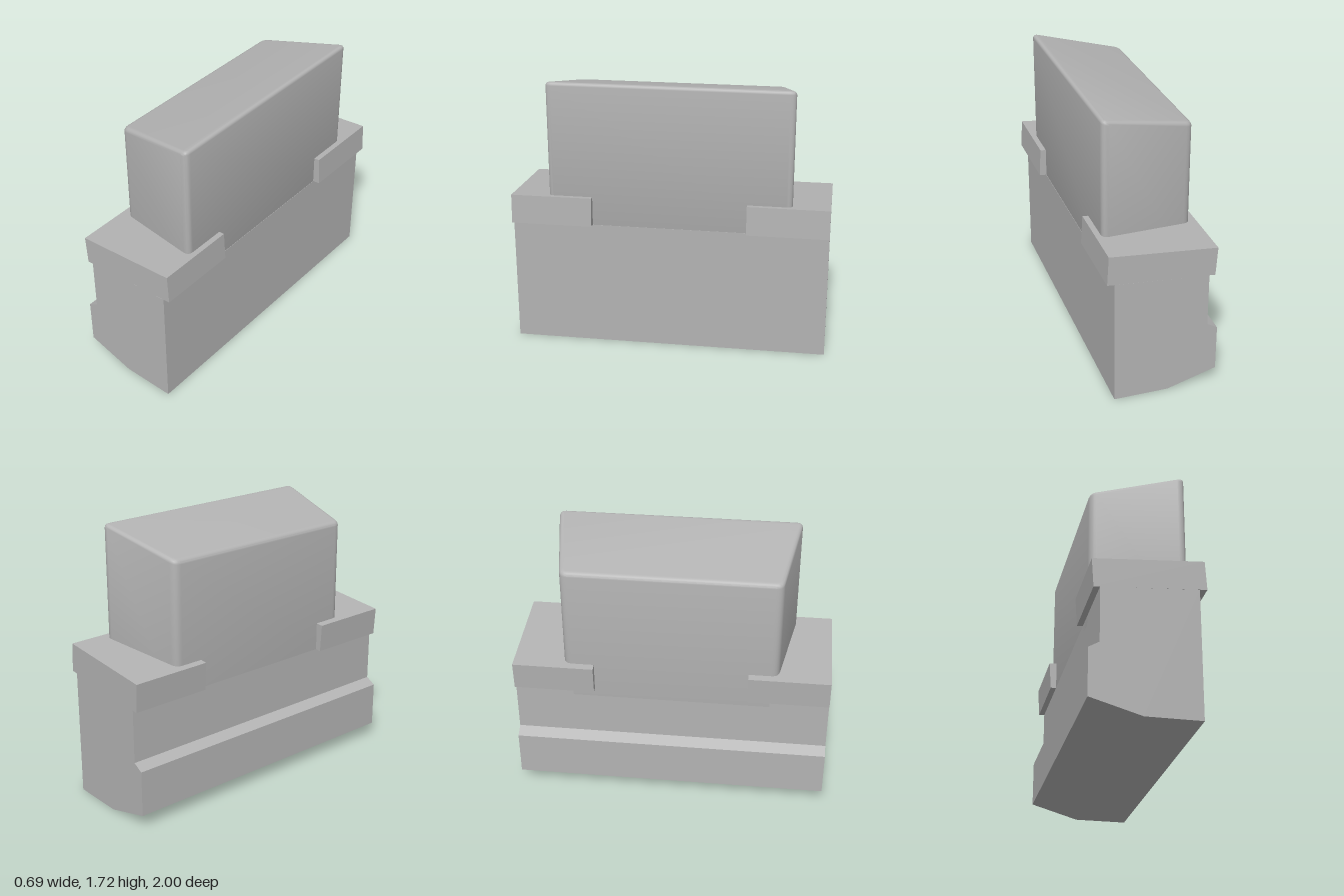
import * as THREE from 'three';
import { toCreasedNormals } from 'three/addons/utils/BufferGeometryUtils.js';

const grey = new THREE.MeshStandardMaterial({ color: 0xb3b3b3 });
grey.name = 'plain grey';

function addMesh(group, name, geometry) {
  const mesh = new THREE.Mesh(toCreasedNormals(geometry, 0.5), grey);
  mesh.name = name;
  group.add(mesh);
}

// Extrude an x/y outline from z0 to z1
function prism(points, z0, z1) {
  const shape = new THREE.Shape(points.map(([x, y]) => new THREE.Vector2(x, y)));
  const geo = new THREE.ExtrudeGeometry(shape, { depth: z1 - z0, bevelEnabled: false });
  return geo.translate(0, 0, z0);
}

// Closed outline with every corner rounded
function roundedOutline(points, r) {
  const v = points.map(([x, y]) => new THREE.Vector2(x, y));
  const shape = new THREE.Shape();
  v.forEach((p, i) => {
    const prev = v[(i + v.length - 1) % v.length], next = v[(i + 1) % v.length];
    const a = prev.clone().sub(p).setLength(r).add(p);
    const b = next.clone().sub(p).setLength(r).add(p);
    if (i) shape.lineTo(a.x, a.y); else shape.moveTo(a.x, a.y);
    shape.quadraticCurveTo(p.x, p.y, b.x, b.y);
  });
  shape.closePath();
  return shape;
}

// Upper block: trapezoid footprint, soft edges and a sloping top
function towerGeometry() {
  const bevel = 0.025, bottom = 0.7, top = 1.66;
  const outline = roundedOutline([[-0.285, -0.672], [0.298, -0.772], [0.298, 0.772], [-0.285, 0.672]], 0.045);
  const geo = new THREE.ExtrudeGeometry(outline, {
    depth: top - bottom - 2 * bevel, bevelThickness: bevel, bevelSize: bevel,
    bevelOffset: -bevel, bevelSegments: 5, curveSegments: 5,
  });
  geo.rotateX(-Math.PI / 2).translate(0, bottom + bevel, 0);
  const pos = geo.attributes.position;
  for (let i = 0; i < pos.count; i++) {
    const slope = pos.getY(i) > 1.2 ? 0.218 : 0.077;
    pos.setY(i, pos.getY(i) + slope * pos.getX(i));
  }
  return geo;
}

export function createModel() {
  const model = new THREE.Group();
  model.name = 'block';

  // Lower body with a side ledge and an angled underside
  addMesh(model, 'body', prism([
    [-0.04, 0], [0.3, 0], [0.3, 0.807], [-0.285, 0.762], [-0.285, 0.42],
    [-0.35, 0.383], [-0.35, 0.09],
  ], -1, 1));

  addMesh(model, 'tower', towerGeometry());

  // Overhanging tilted caps on the two end shoulders
  const cap = [[-0.322, 0.759], [0.345, 0.811], [0.335, 0.995], [-0.333, 0.94]];
  addMesh(model, 'frontCap', prism(cap, 0.487, 1));
  addMesh(model, 'backCap', prism(cap, -1, -0.487));

  return model;
}
